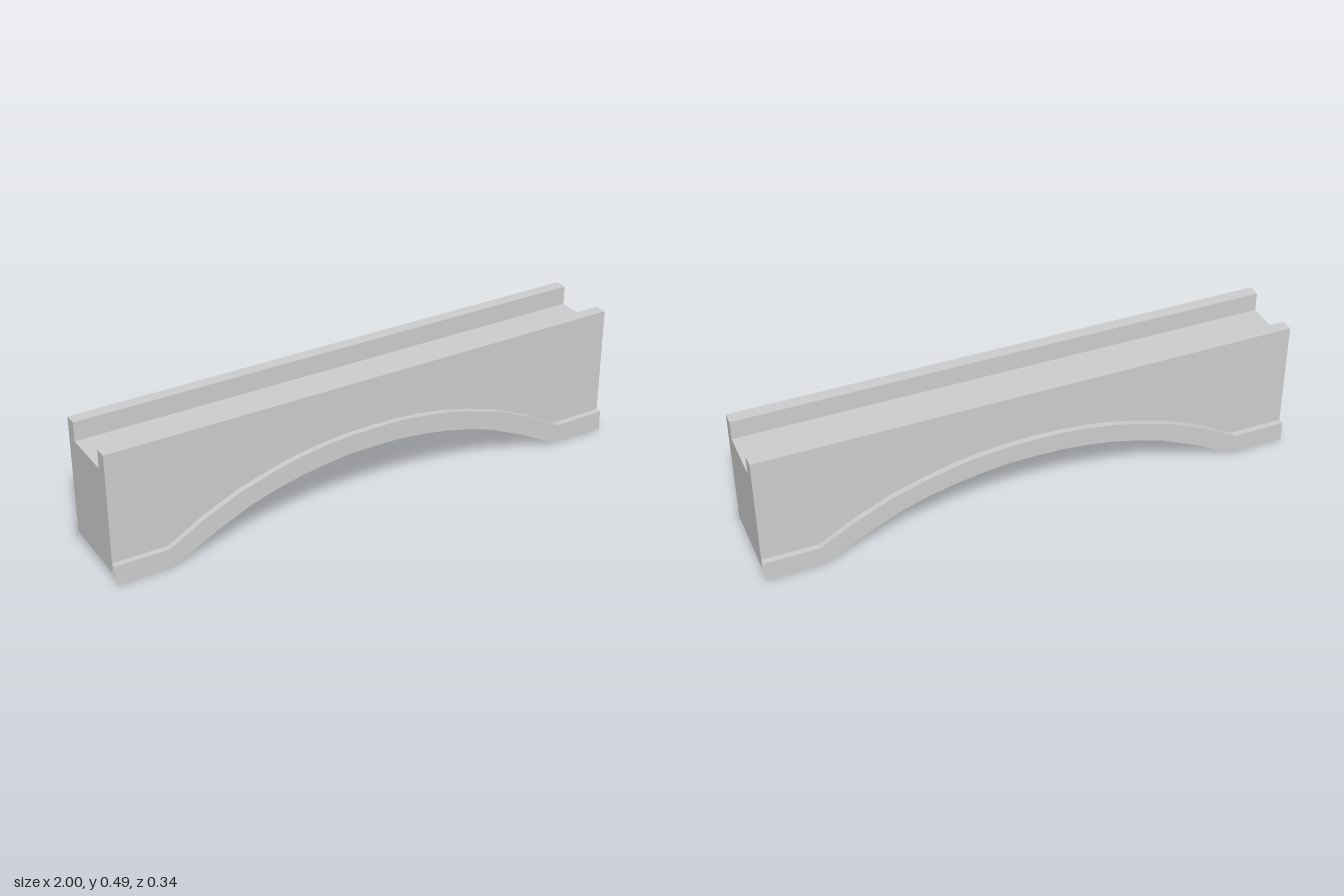
import * as THREE from 'three';

const material = new THREE.MeshStandardMaterial({ color: 0xcccccc, flatShading: true, side: THREE.DoubleSide });

// Mirror a half profile (x from 0 outwards) into a full left-to-right line
const mirrorX = (half) => [
  ...half.slice(1).reverse().map(([x, y]) => [-x, y]),
  ...half,
];

// Quad strip between two rows of [x, y, z] points
function strip(rowA, rowB) {
  const position = [];
  for (let i = 0; i < rowA.length - 1; i++) {
    const [a, b, c, d] = [rowA[i], rowA[i + 1], rowB[i + 1], rowB[i]];
    position.push(...a, ...b, ...c, ...a, ...c, ...d);
  }
  const geometry = new THREE.BufferGeometry();
  geometry.setAttribute('position', new THREE.Float32BufferAttribute(position, 3));
  geometry.computeVertexNormals();
  return geometry;
}

export function createModel() {
  const group = new THREE.Group();
  const add = (name, geometry, parent = group) => {
    const mesh = new THREE.Mesh(geometry, material);
    mesh.name = name;
    parent.add(mesh);
    return mesh;
  };

  const wallZ = 0.145, trimZ = 0.168;
  const deckY = 0.418, topY = 0.49, parapetWidth = 0.046;

  // Solid span with a coarse arched underside
  const underside = mirrorX([[0, 0.265], [0.42, 0.2], [0.8, 0.036], [1, 0.036]]);
  const profile = [...underside, [1, deckY], [-1, deckY]].map(([x, y]) => new THREE.Vector2(x, y));
  const span = new THREE.ExtrudeGeometry(new THREE.Shape(profile), { depth: 2 * wallZ, bevelEnabled: false });
  span.translate(0, 0, -wallZ);
  add('span', span);

  // Finer curves of the arch trim, listed from the crown outwards
  const lower = mirrorX([
    [0, 0.232], [0.1, 0.231], [0.2, 0.22], [0.3, 0.203], [0.4, 0.179], [0.5, 0.146],
    [0.64, 0.082], [0.76, 0.016], [0.8, 0.003], [1, 0],
  ]);
  const upper = mirrorX([
    [0, 0.305], [0.1, 0.303], [0.2, 0.294], [0.3, 0.278], [0.4, 0.253], [0.53, 0.212],
    [0.67, 0.149], [0.77, 0.091], [0.8, 0.076], [1, 0.076],
  ]);

  for (const side of [1, -1]) {
    const label = side > 0 ? 'front' : 'back';

    // Parapet along the deck edge
    const parapet = add(label + 'Parapet', new THREE.BoxGeometry(2, topY - deckY, parapetWidth));
    parapet.position.set(0, (topY + deckY) / 2, side * (wallZ - parapetWidth / 2));

    // Thin arch trim: an outer face and a ledge back to the wall
    const trim = new THREE.Group();
    trim.name = label + 'ArchTrim';
    group.add(trim);
    const at = (line, z) => line.map(([x, y]) => [x, y, side * z]);
    const rows = [at(lower, trimZ), at(upper, trimZ - 0.001), at(upper, wallZ)];
    const face = (a, b) => (side > 0 ? strip(a, b) : strip(b, a));
    add('trimFace', face(rows[0], rows[1]), trim);
    add('trimLedge', face(rows[1], rows[2]), trim);
  }
  return group;
}
